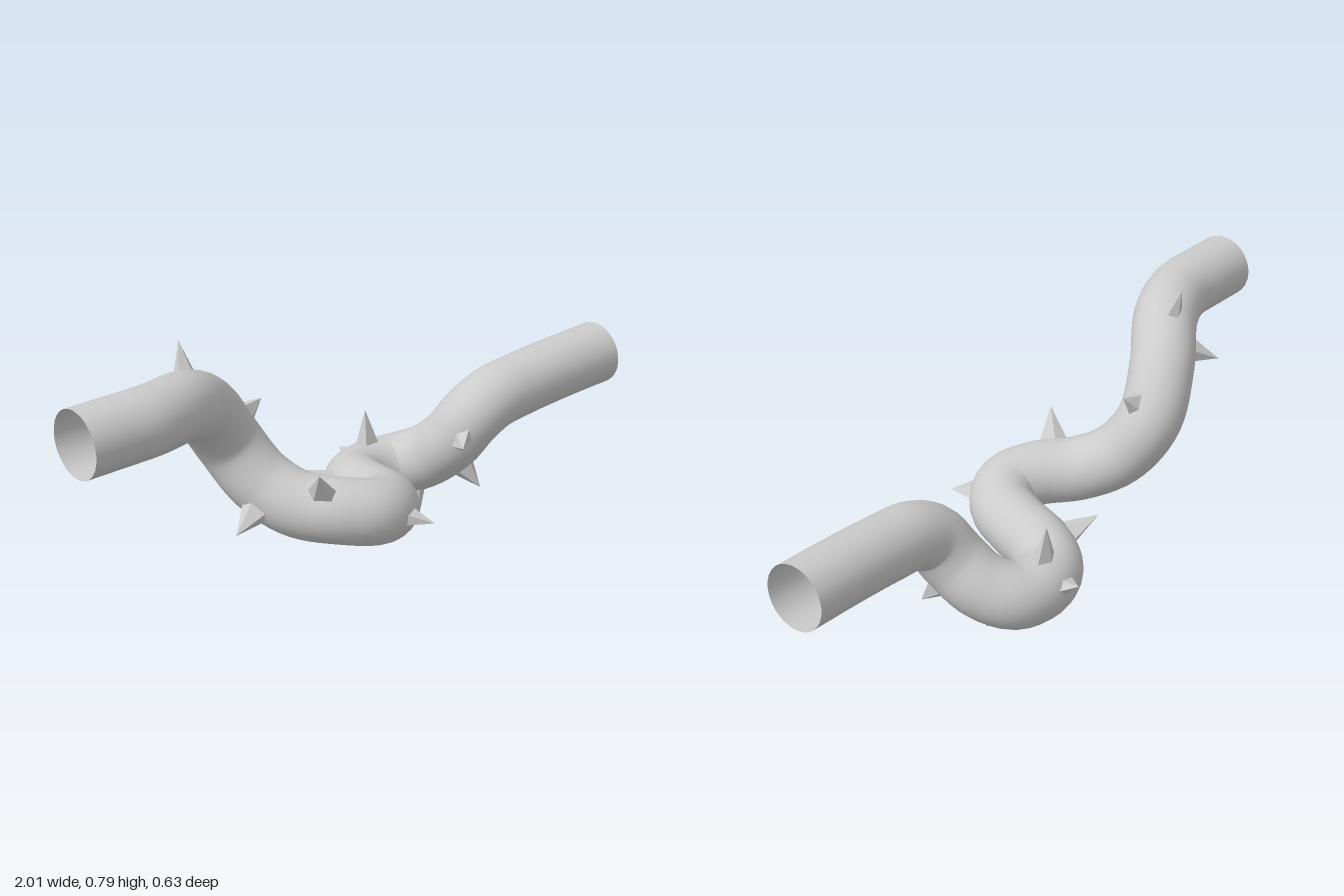
import * as THREE from 'three';

const V = (p) => new THREE.Vector3(...p);

// Centre line of the winding stem
const path = [
  [-1, 0.655, 0.04], [-0.88, 0.657, 0.04], [-0.75, 0.657, 0.035], [-0.6, 0.64, -0.02],
  [-0.46, 0.56, -0.11], [-0.36, 0.43, -0.14], [-0.3, 0.31, -0.07], [-0.24, 0.25, 0.03],
  [-0.15, 0.235, 0.13], [-0.06, 0.22, 0.172], [0.02, 0.2, 0.13], [0.06, 0.18, 0.03],
  [0.085, 0.165, -0.07], [0.14, 0.15, -0.15], [0.225, 0.145, -0.182], [0.32, 0.15, -0.16],
  [0.38, 0.19, -0.085], [0.41, 0.26, -0.01], [0.45, 0.335, 0.03], [0.53, 0.38, 0.04],
  [0.65, 0.397, 0.04], [0.82, 0.41, 0.04], [1, 0.418, 0.04],
];

// Tips of the thorns; each grows from the nearest point of the stem
const thornTips = [
  [-0.54, 0.79, -0.12], [-0.65, 0.535, -0.19], [-0.25, 0.54, -0.12], [-0.46, 0.21, 0.02],
  [-0.28, 0.4, 0.18], [0.045, 0.2, 0.315], [-0.07, 0.24, -0.17], [0.015, 0.01, -0.045],
  [0.22, 0.35, -0.2], [0.215, 0.19, -0.315], [0.325, 0, -0.06], [0.46, 0.11, 0.075],
  [0.32, 0.3, 0.14],
];

export function createModel() {
  const group = new THREE.Group();
  const radius = 0.1;
  const curve = new THREE.CatmullRomCurve3(path.map(V));

  // Hollow stem, open at both ends
  const stem = new THREE.Mesh(
    new THREE.TubeGeometry(curve, 120, radius, 28, false),
    new THREE.MeshStandardMaterial({ color: 0xcccccc, side: THREE.DoubleSide }));
  stem.name = 'stem';
  group.add(stem);

  // Thorns: uneven faceted pyramids, stretched along the stem
  const thornMaterial = new THREE.MeshStandardMaterial({
    color: 0xcccccc, flatShading: true, side: THREE.DoubleSide });
  const samples = curve.getSpacedPoints(300);
  const thorns = new THREE.Group();
  thorns.name = 'thorns';
  thornTips.forEach((p, i) => {
    const tip = V(p);
    let best = 0;
    samples.forEach((s, k) => {
      if (s.distanceTo(tip) < samples[best].distanceTo(tip)) best = k;
    });
    const centre = samples[best];
    const out = tip.clone().sub(centre).normalize();
    const along = curve.getTangentAt(best / 300);
    const side = along.clone().cross(out).normalize();
    along.crossVectors(out, side);
    const base = centre.clone().addScaledVector(out, radius * 0.78);
    const height = base.distanceTo(tip);
    const geometry = new THREE.ConeGeometry(0.04, height, 5, 1, true, i * 0.9);
    geometry.translate(0, height / 2, 0);
    geometry.scale(0.85, 1, 1.3);
    const thorn = new THREE.Mesh(geometry, thornMaterial);
    thorn.applyMatrix4(new THREE.Matrix4().makeBasis(side, out, along.negate()).setPosition(base));
    if (thorn.matrix.determinant() < 0) thorn.scale.z *= -1;
    thorn.name = 'thorn' + (i + 1);
    thorns.add(thorn);
  });
  group.add(thorns);
  return group;
}
